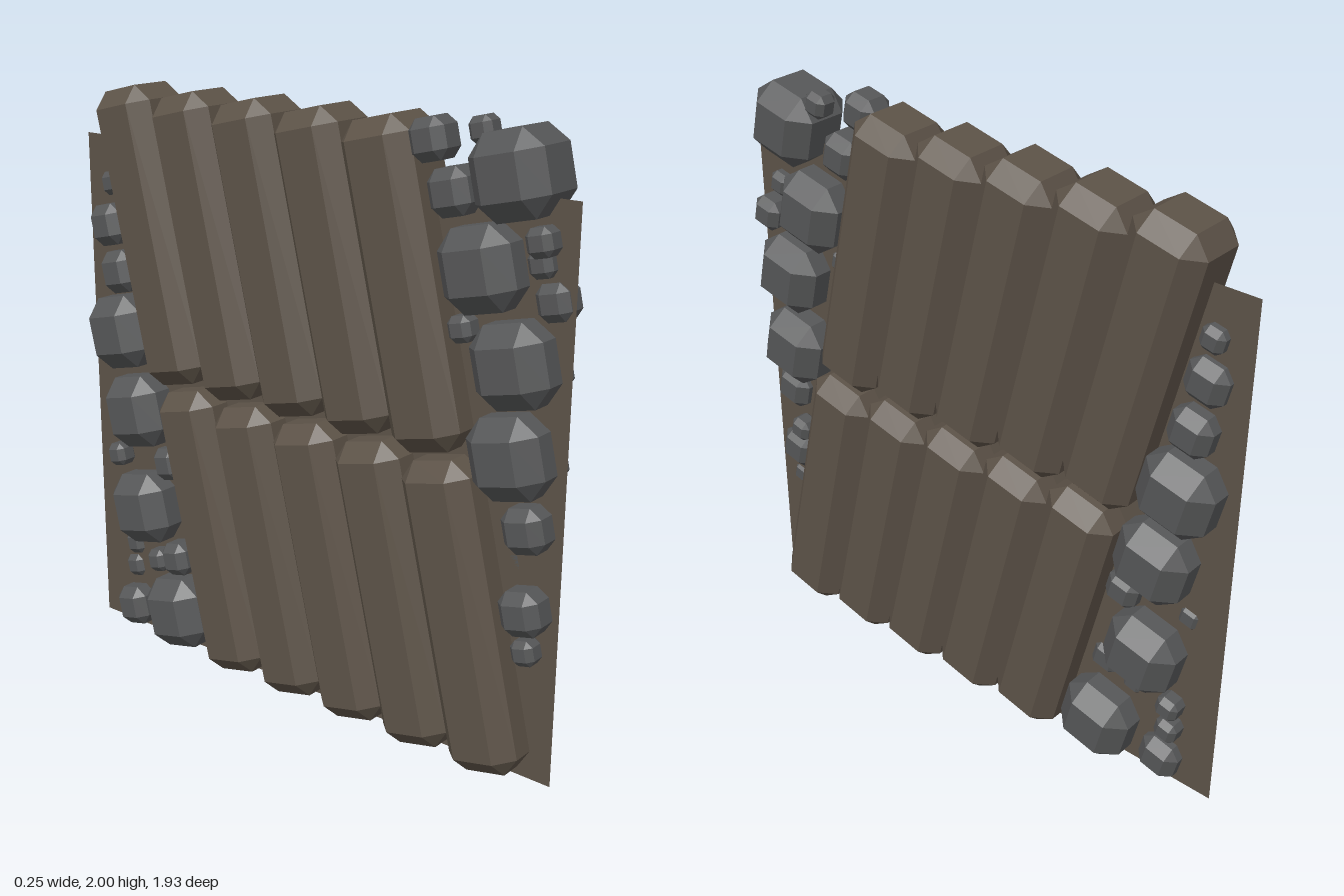
import * as THREE from 'three';
import { ConvexGeometry } from 'three/addons/geometries/ConvexGeometry.js';

const TILT = -0.235; // everything leans towards the back

// Box with every edge and corner cut off by the same bevel
function chamferedBox(w, h, d, bevel) {
  const half = [w / 2, h / 2, d / 2];
  const points = [];
  for (let axis = 0; axis < 3; axis++)
    for (const sx of [-1, 1]) for (const sy of [-1, 1]) for (const sz of [-1, 1]) {
      const c = half.map((v, i) => (i === axis ? v : v - bevel));
      points.push(new THREE.Vector3(sx * c[0], sy * c[1], sz * c[2]));
    }
  return new ConvexGeometry(points);
}

export function createModel() {
  const model = new THREE.Group();
  model.name = 'woodAndStoneWall';
  const wood = new THREE.MeshStandardMaterial({ color: 0x5c5247, flatShading: true });
  const panelWood = new THREE.MeshStandardMaterial({ color: 0x5c5247, side: THREE.DoubleSide });
  const rock = new THREE.MeshStandardMaterial({ color: 0x555657, flatShading: true });

  const add = (name, geometry, material, x, y, z, tilt = 0, scale = 1) => {
    const mesh = new THREE.Mesh(geometry, material);
    mesh.name = name;
    mesh.position.set(x, y, z);
    mesh.rotation.x = tilt;
    mesh.scale.setScalar(scale);
    model.add(mesh);
  };

  // Thin backing sheet through the middle
  const sheet = new THREE.PlaneGeometry(1.935, 1.79).rotateY(Math.PI / 2);
  add('backingPanel', sheet, panelWood, 0, 0.905, 0);

  // Two rows of leaning logs
  const logGeometry = chamferedBox(0.253, 0.993, 0.253, 0.056);
  for (let i = 0; i < 5; i++) {
    add('upperLog', logGeometry, wood, 0, 1.49, 0.422 - 0.259 * i, TILT);
    add('lowerLog', logGeometry, wood, 0, 0.503, 0.666 - 0.257 * i, TILT);
  }

  // Stones filling both ends: [x, y, z, size]
  const stoneGeometry = chamferedBox(1, 1, 1, 0.24);
  const frontStones = [
    [0, 1.855, 0.775, 0.25], [0.045, 1.955, 0.62, 0.08], [-0.05, 1.93, 0.515, 0.125],
    [-0.02, 1.785, 0.573, 0.14], [0, 1.58, 0.68, 0.25], [0, 1.615, 0.86, 0.08],
    [0.025, 1.51, 0.897, 0.11], [-0.03, 1.395, 0.62, 0.08], [0, 1.32, 0.8, 0.25],
    [0, 1.045, 0.8, 0.25], [-0.02, 0.837, 0.865, 0.14], [0.04, 0.705, 0.8, 0.08],
    [-0.025, 0.578, 0.87, 0.14], [-0.03, 0.45, 0.88, 0.08], [-0.06, 1.69, 0.89, 0.085],
  ];
  const backStones = [
    [0, 1.643, -0.842, 0.08], [-0.02, 1.505, -0.832, 0.14], [0, 1.342, -0.806, 0.145],
    [0, 1.135, -0.79, 0.25], [0, 0.86, -0.722, 0.25], [0, 0.684, -0.604, 0.115],
    [-0.03, 0.673, -0.832, 0.08], [0, 0.503, -0.705, 0.25], [-0.04, 0.355, -0.535, 0.115],
    [-0.03, 0.313, -0.647, 0.08], [0.02, 0.323, -0.806, 0.08], [0.02, 0.233, -0.808, 0.08],
    [0, 0.143, -0.548, 0.25], [-0.01, 0.095, -0.78, 0.14],
  ];
  for (const [x, y, z, s] of frontStones) add('frontStone', stoneGeometry, rock, x, y, z, TILT, s);
  for (const [x, y, z, s] of backStones) add('backStone', stoneGeometry, rock, x, y, z, TILT, s);

  return model;
}
